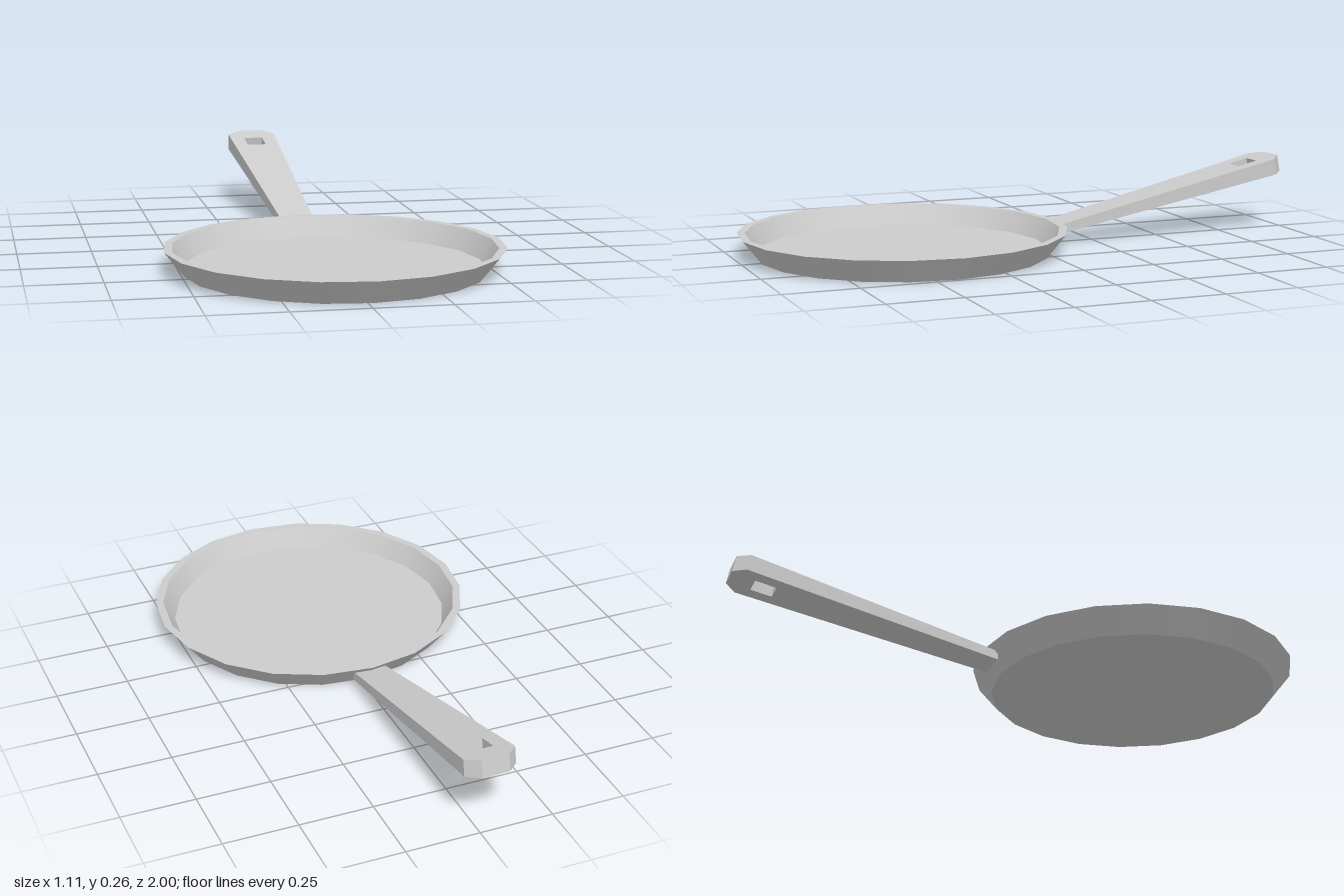
import * as THREE from 'three';

const SIDES = 20;
const lerp = THREE.MathUtils.lerp;

// Pan body: closed profile; doubled points keep the ring edges sharp
function createPan(material) {
  const ring = [[0.492, 0], [0.556, 0.08], [0.529, 0.08], [0.49, 0.012]];
  const points = [new THREE.Vector2(0, 0)];
  for (const [r, y] of ring) points.push(new THREE.Vector2(r, y), new THREE.Vector2(r, y));
  points.push(new THREE.Vector2(0, 0.012));
  const geometry = new THREE.LatheGeometry(points, SIDES);
  geometry.normalizeNormals();
  const pan = new THREE.Mesh(geometry, material);
  pan.name = 'pan';
  return pan;
}

// Handle: flat outline with a hanging hole, extruded then tilted and tapered
function createHandle(material) {
  const root = 0.52, end = 1.43;
  const shape = new THREE.Shape([
    [-0.057, root], [0.057, root], [0.089, 1.39], [0.047, end], [-0.047, end], [-0.089, 1.39],
  ].map(([x, d]) => new THREE.Vector2(x, d)));
  shape.holes.push(new THREE.Path([
    [-0.035, 1.278], [-0.035, 1.35], [0.035, 1.35], [0.035, 1.278],
  ].map(([x, d]) => new THREE.Vector2(x, d))));
  const geometry = new THREE.ExtrudeGeometry(shape, { depth: 1, bevelEnabled: false });

  const p = geometry.attributes.position;
  for (let i = 0; i < p.count; i++) {
    const d = p.getY(i), t = p.getZ(i);
    const along = (d - root) / (end - root);
    const y = lerp(lerp(0.027, 0.203, along), lerp(0.058, 0.26, along), t);
    p.setXYZ(i, p.getX(i), y, -d - (1 - t) * 0.012 * along);
  }
  geometry.computeVertexNormals();
  const handle = new THREE.Mesh(geometry, material);
  handle.name = 'handle';
  return handle;
}

export function createModel() {
  const material = new THREE.MeshStandardMaterial({ color: 0xcccccc });
  const fryingPan = new THREE.Group();
  fryingPan.name = 'fryingPan';
  fryingPan.add(createPan(material), createHandle(material));
  // Slight turn of the whole pan about its own centre
  fryingPan.rotation.y = 0.034;
  fryingPan.position.z = 0.443;

  const model = new THREE.Group();
  model.name = 'model';
  model.add(fryingPan);
  return model;
}
